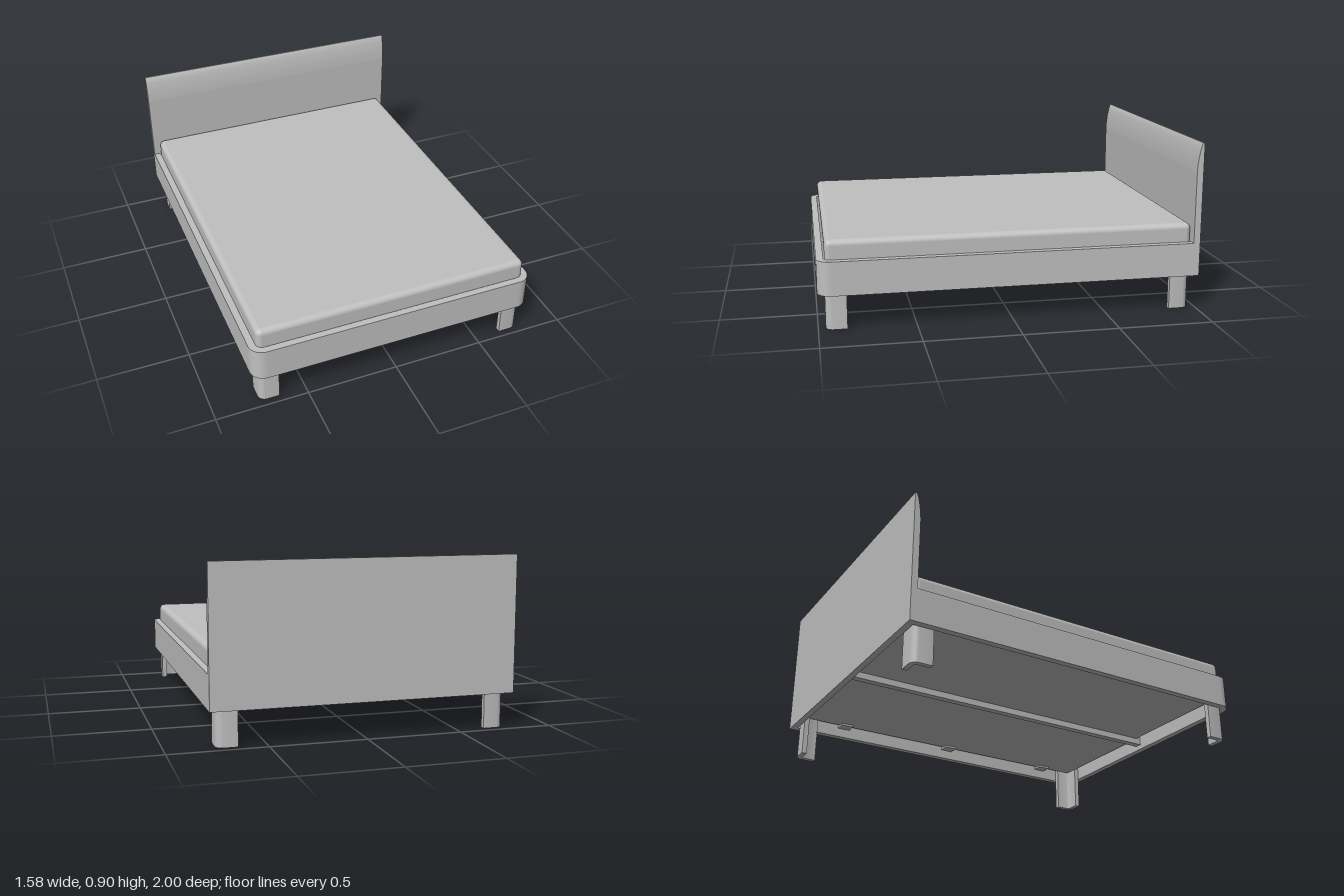
import * as THREE from 'three';
import { toCreasedNormals } from 'three/addons/utils/BufferGeometryUtils.js';
import { RoundedBoxGeometry } from 'three/addons/geometries/RoundedBoxGeometry.js';

const grey = new THREE.MeshStandardMaterial({ color: 0xc0c0c0 });
grey.name = 'plain grey';

function addPart(parent, name, geometry, x = 0, y = 0, z = 0) {
  const mesh = new THREE.Mesh(geometry, grey);
  mesh.name = name;
  mesh.position.set(x, y, z);
  parent.add(mesh);
  return mesh;
}

// Box given by its lower and upper corners
function addBox(parent, name, [x0, y0, z0], [x1, y1, z1]) {
  const box = new THREE.BoxGeometry(x1 - x0, y1 - y0, z1 - z0);
  return addPart(parent, name, box, (x0 + x1) / 2, (y0 + y1) / 2, (z0 + z1) / 2);
}

// Upright L-shaped shell with a rounded outer corner at local (0, 0)
function cornerShell(arm, thick, radius, height) {
  const inner = Math.max(radius - thick, 0.008);
  const s = new THREE.Shape();
  s.moveTo(-arm, 0);
  s.lineTo(-radius, 0);
  s.absarc(-radius, -radius, radius, Math.PI / 2, 0, true);
  s.lineTo(0, -arm);
  s.lineTo(-thick, -arm);
  s.lineTo(-thick, -thick - inner);
  s.absarc(-thick - inner, -thick - inner, inner, 0, Math.PI / 2, false);
  s.lineTo(-arm, -thick);
  s.closePath();
  const g = new THREE.ExtrudeGeometry(s, { depth: height, bevelEnabled: false, curveSegments: 10 });
  g.rotateX(Math.PI / 2);
  g.translate(0, height, 0);
  return toCreasedNormals(g, 0.6);
}

// Extrude a (z, y) profile across the full width
function acrossWidth(points, width) {
  const s = new THREE.Shape(points.map(([z, y]) => new THREE.Vector2(-z, y)));
  const g = new THREE.ExtrudeGeometry(s, { depth: width, bevelEnabled: false });
  g.translate(0, 0, -width / 2);
  g.rotateY(Math.PI / 2);
  // shape x (= -z) now points to -z, so the profile lands at its given z
  return toCreasedNormals(g, 0.6);
}

export function createModel() {
  const bed = new THREE.Group();
  bed.name = 'bed';

  const W = 0.79, LOW = 0.187, TOP = 0.365, T = 0.037;

  // Mattress
  addPart(bed, 'mattress', new RoundedBoxGeometry(1.506, 0.215, 1.922, 4, 0.03), 0, 0.3575, -0.003);

  // Side rails, front rail and rounded front corners
  for (const s of [-1, 1]) {
    const xs = [s * W, s * (W - T)].sort((a, b) => a - b);
    addBox(bed, s > 0 ? 'leftRail' : 'rightRail', [xs[0], LOW, -0.965], [xs[1], TOP, 0.862]);
  }
  addBox(bed, 'frontRail', [-0.652, LOW, 1 - T], [0.652, TOP, 1]);
  const corner = cornerShell(0.138, T, 0.075, TOP - LOW);
  addPart(bed, 'leftFrontCorner', corner, W, LOW, 1);
  addPart(bed, 'rightFrontCorner', corner, -W, LOW, 1).rotation.y = -Math.PI / 2;

  // Headboard panel and its tapering cap
  addBox(bed, 'headboardPanel', [-W, LOW, -1], [W, 0.745, -0.965]);
  addPart(bed, 'headboardCap', acrossWidth([
    [-1, 0.745], [-0.965, 0.745], [-0.967, 0.785], [-0.972, 0.825],
    [-0.979, 0.862], [-0.987, 0.893], [-0.992, 0.9], [-1, 0.9],
  ], 2 * W));

  // Four hollow corner legs
  const leg = cornerShell(0.109, 0.028, 0.04, 0.26);
  const legs = [
    ['leftFrontLeg', 1, 1, 0], ['leftBackLeg', 1, -1, Math.PI / 2],
    ['rightBackLeg', -1, -1, Math.PI], ['rightFrontLeg', -1, 1, -Math.PI / 2],
  ];
  for (const [name, sx, sz, turn] of legs) {
    addPart(bed, name, leg, sx * 0.754, 0, sz * 0.962).rotation.y = turn;
  }

  // Centre beam and small brackets under the base
  addBox(bed, 'centreBeam', [-0.02, 0.215, -0.965], [0.02, 0.26, 0.963]);
  for (const s of [-1, 1]) {
    for (const z of [-0.68, 0.02, 0.72]) {
      addPart(bed, 'bracket', new THREE.BoxGeometry(0.06, 0.015, 0.07), s * 0.722, 0.246, z);
    }
  }
  return bed;
}
